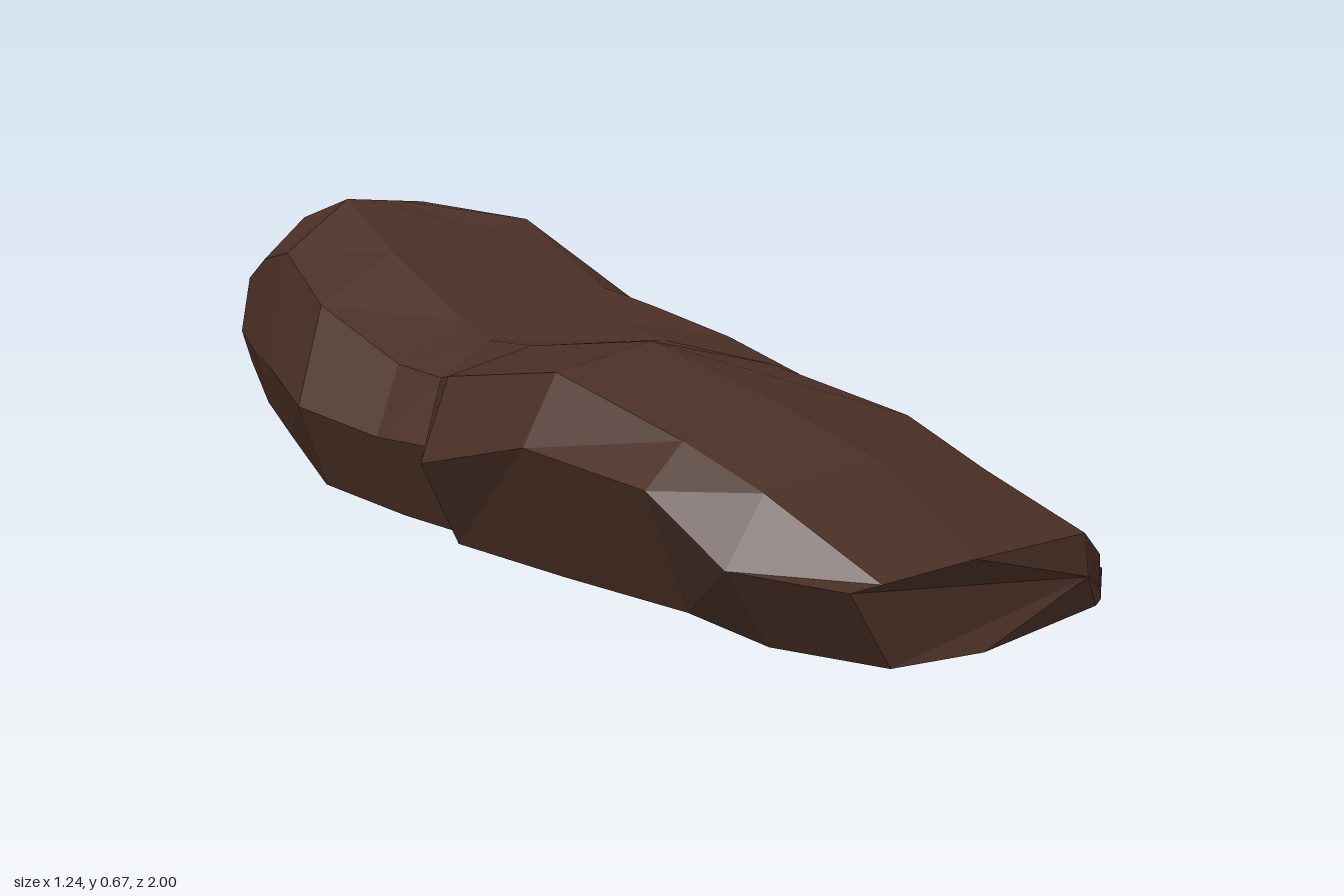
import * as THREE from 'three';

// Stations from front to back:
// z, left edge x y, crest x y, shoulder x y, right edge x y, underside y
const stations = [
  [0.99, -0.56, 0.285, -0.27, 0.285, 0.3, 0.15, 0.5, 0.06, 0],
  [0.79, -0.62, 0.3, -0.27, 0.425, 0.29, 0.22, 0.54, 0.08, 0.01],
  [0.6, -0.6, 0.4, -0.24, 0.475, 0.35, 0.3, 0.56, 0.11, 0.03],
  [0.29, -0.56, 0.42, -0.22, 0.55, 0.37, 0.36, 0.585, 0.13, 0.03],
  [0, -0.51, 0.34, -0.2, 0.5, 0.435, 0.41, 0.62, 0.14, 0.03],
  [-0.18, -0.29, 0.3, -0.1, 0.47, 0.43, 0.45, 0.59, 0.17, 0.04],
  [-0.3, -0.29, 0.3, -0.03, 0.48, 0.41, 0.48, 0.575, 0.2, 0.05],
  [-0.5, -0.29, 0.33, -0.01, 0.59, 0.41, 0.6, 0.535, 0.22, 0.08],
  [-0.7, -0.16, 0.36, 0.08, 0.665, 0.31, 0.63, 0.46, 0.24, 0.13],
  [-0.84, -0.06, 0.36, 0.1, 0.61, 0.28, 0.61, 0.385, 0.25, 0.16],
  [-0.95, 0.02, 0.37, 0.13, 0.52, 0.25, 0.52, 0.32, 0.3, 0.22],
];

const { lerp: mix, clamp } = THREE.MathUtils;

// One loop: lower left, left edge, over the top, right edge, then back along the underside.
function crossSection([z, lx, ly, cx, cy, sx, sy, rx, ry, bottom]) {
  const back = z < -0.1;
  const front = Math.max(z, 0);
  const flank = clamp(-0.25 * z - 0.025, -0.025, 0.05); // hollow in front, swelling at the back
  const lowLeft = [lx + 0.09 * (rx - lx), bottom + (back ? 0.08 : 0.14)];
  const lowRight = [rx - (back ? 0.09 : 0.075 - 0.07 * front), bottom];
  const under = (t, lift) => [mix(lowLeft[0], lowRight[0], t), mix(lowLeft[1], lowRight[1], t) + lift];
  const loop = [
    lowLeft,
    [lx, ly],
    [mix(lx, cx, 0.25), mix(ly, cy, back ? 0.72 : 0.9)],
    [cx, cy],
    [mix(cx, sx, 0.65), mix(cy, sy, 0.65) + 0.05 * front],
    [sx, sy],
    [(sx + rx) / 2 + flank, (sy + ry) / 2 + 1.6 * flank],
    [rx, ry],
    lowRight,
    under(0.66, 0.05 * front),
    under(0.24, 0.01 * front),
  ];
  // The front end is swept back towards both sides
  return loop.map(([x, y]) => {
    const sweep = 0.5 * Math.max(0, x - 0.15) + 0.2 * Math.max(0, -0.27 - x);
    return [x, y, z - front * sweep];
  });
}

// Skin neighbouring loops with quads and close both ends with fans.
function loftGeometry(loops, frontTip, backTip) {
  const n = loops[0].length;
  const tip = loops.length * n;
  const last = tip - n;
  const index = [];
  for (let i = 0; i < n; i++) {
    const j = (i + 1) % n;
    for (let r = 0; r < last; r += n) {
      index.push(r + i, r + j, r + n + i, r + j, r + n + j, r + n + i);
    }
    index.push(tip, j, i, tip + 1, last + i, last + j);
  }
  const positions = [...loops.flat(2), ...frontTip, ...backTip];
  const indexed = new THREE.BufferGeometry();
  indexed.setAttribute('position', new THREE.Float32BufferAttribute(positions, 3));
  indexed.setIndex(index);
  const faceted = indexed.toNonIndexed();
  faceted.computeVertexNormals();
  return faceted;
}

export function createModel() {
  const brown = new THREE.MeshStandardMaterial({ color: 0x4b3026, flatShading: true });
  brown.name = 'dark brown';

  // One faceted lump with a broad front lobe and a raised, narrow back end
  const geometry = loftGeometry(stations.map(crossSection), [0.1, 0.17, 1], [0.17, 0.37, -1]);
  const rock = new THREE.Mesh(geometry, brown);
  rock.name = 'rock';

  const group = new THREE.Group();
  group.name = 'brownRock';
  group.add(rock);
  return group;
}
